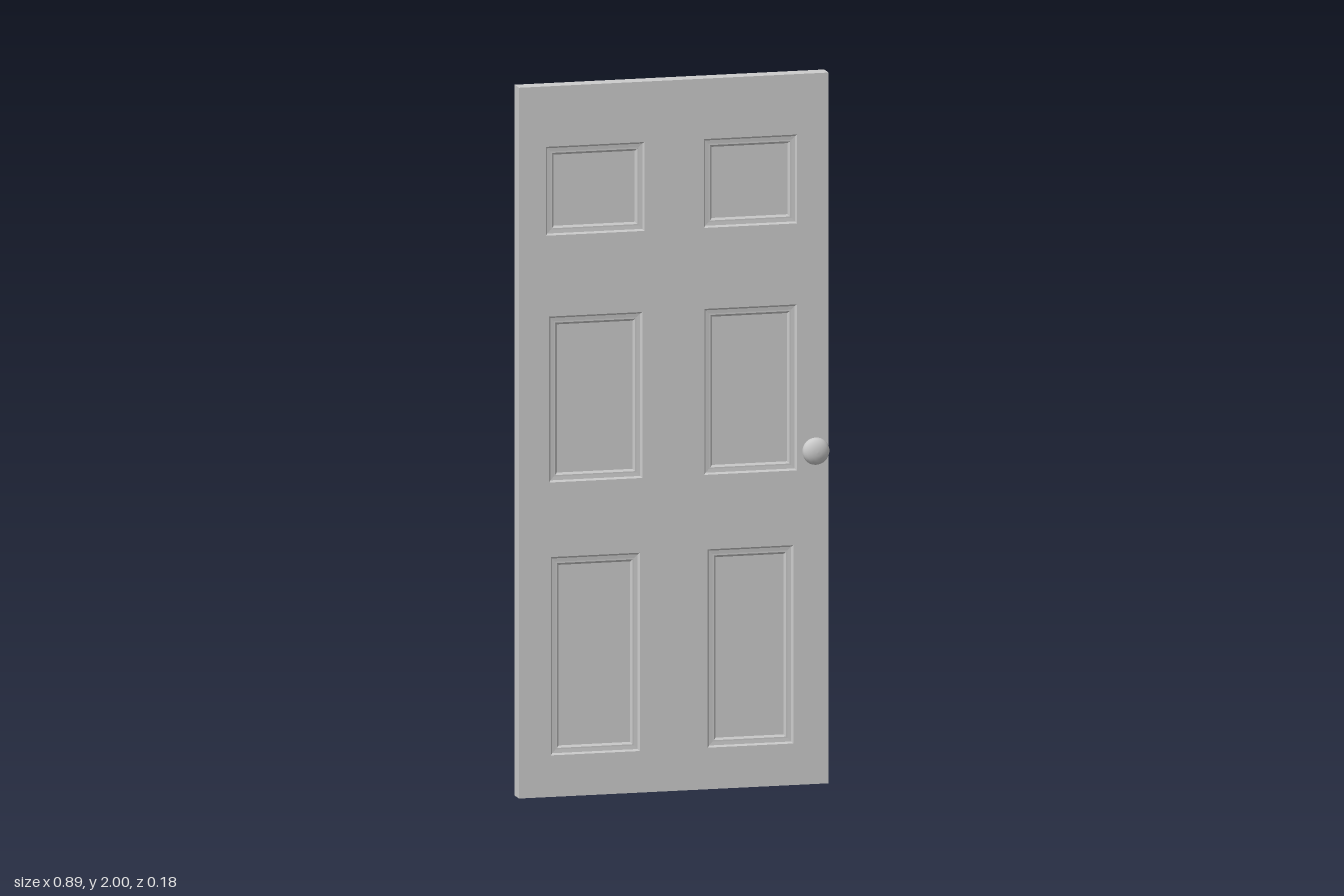
import * as THREE from 'three';

const W = 0.443, H = 2, FRONT = 0.022, BACK = -0.026;

// Panel recesses: [x0, x1, y0, y1]
const PANELS = [
  [-0.366, -0.084, 1.58, 1.83], [0.086, 0.353, 1.58, 1.83],
  [-0.357, -0.09, 0.885, 1.352], [0.087, 0.352, 0.885, 1.352],
  [-0.352, -0.097, 0.117, 0.675], [0.097, 0.342, 0.117, 0.675],
];

// Moulding profile: [inset from the panel edge, depth below the face]
const MOULDING = [[0, 0], [0.005, 0.005], [0.015, 0.006], [0.019, 0.006], [0.025, 0.011]];

const material = () => new THREE.MeshStandardMaterial({ color: 0xcccccc, side: THREE.DoubleSide });

function corners([x0, x1, y0, y1], inset = 0) {
  const a = x0 + inset, b = x1 - inset, c = y0 + inset, d = y1 - inset;
  return [[a, c], [b, c], [b, d], [a, d]];
}

// Joins rectangular rings of four [x, y, z] corners with flat faces, optionally capping the last one
function loftRings(rings, cap, flip) {
  const pos = [];
  const quad = (a, b, c, d) => pos.push(...(flip ? [a, c, b, a, d, c] : [a, b, c, a, c, d]).flat());
  for (let r = 0; r + 1 < rings.length; r++) {
    for (let i = 0; i < 4; i++) {
      const j = (i + 1) % 4;
      quad(rings[r][i], rings[r][j], rings[r + 1][j], rings[r + 1][i]);
    }
  }
  if (cap) quad(...rings[rings.length - 1]);
  const g = new THREE.BufferGeometry();
  g.setAttribute('position', new THREE.Float32BufferAttribute(pos, 3));
  g.computeVertexNormals();
  return g;
}

function addMesh(parent, geometry, name) {
  const mesh = new THREE.Mesh(geometry, material());
  mesh.name = name;
  parent.add(mesh);
  return mesh;
}

// One side of the door: a flat face with openings and a moulded recess in each
function doorFace(name, z, dir) {
  const group = new THREE.Group();
  group.name = name;
  const toPath = (pts) => pts.map(([x, y]) => new THREE.Vector2(x, y));
  const shape = new THREE.Shape(toPath(corners([-W, W, 0, H])));
  for (const p of PANELS) shape.holes.push(new THREE.Path(toPath(corners(p))));
  const face = new THREE.ShapeGeometry(shape);
  if (dir < 0) face.rotateY(Math.PI).scale(-1, 1, 1); // scaling restores x positions
  if (dir < 0) { // keep the back face pointing outwards
    const idx = face.index.array;
    for (let i = 0; i < idx.length; i += 3) [idx[i], idx[i + 1]] = [idx[i + 1], idx[i]];
    face.computeVertexNormals();
  }
  addMesh(group, face.translate(0, 0, z), 'stilesAndRails');
  for (const p of PANELS) {
    const rings = MOULDING.map(([inset, depth]) =>
      corners(p, inset).map(([x, y]) => [x, y, z - dir * depth]));
    addMesh(group, loftRings(rings, true, dir < 0), 'recessedPanel');
  }
  return group;
}

// Door knob with a short neck, turned around the y axis then pointed along z
function doorKnob(name, dir) {
  const neck = [[0.024, 0.02], [0.02, 0.032], [0.019, 0.044]];
  const head = [[0.023, 0.046], [0.031, 0.05], [0.0365, 0.057], [0.0385, 0.066],
    [0.036, 0.074], [0.03, 0.081], [0.02, 0.086], [0.01, 0.0885], [0, 0.089]];
  const points = [...neck, ...head].map(([r, h]) => new THREE.Vector2(r, h));
  const g = new THREE.LatheGeometry(points, 32).rotateX(dir * Math.PI / 2);
  const mesh = new THREE.Mesh(g, material());
  mesh.name = name;
  mesh.position.set(0.395, 0.945, 0);
  return mesh;
}

export function createModel() {
  const door = new THREE.Group();
  door.name = 'panelDoor';

  // Outer edges of the slab
  const outline = corners([-W, W, 0, H]);
  const edge = [BACK, FRONT].map((z) => outline.map(([x, y]) => [x, y, z]));
  addMesh(door, loftRings(edge, false, false), 'doorEdges');

  door.add(doorFace('frontFace', FRONT, 1), doorFace('backFace', BACK, -1));
  door.add(doorKnob('frontKnob', 1), doorKnob('backKnob', -1));
  return door;
}
